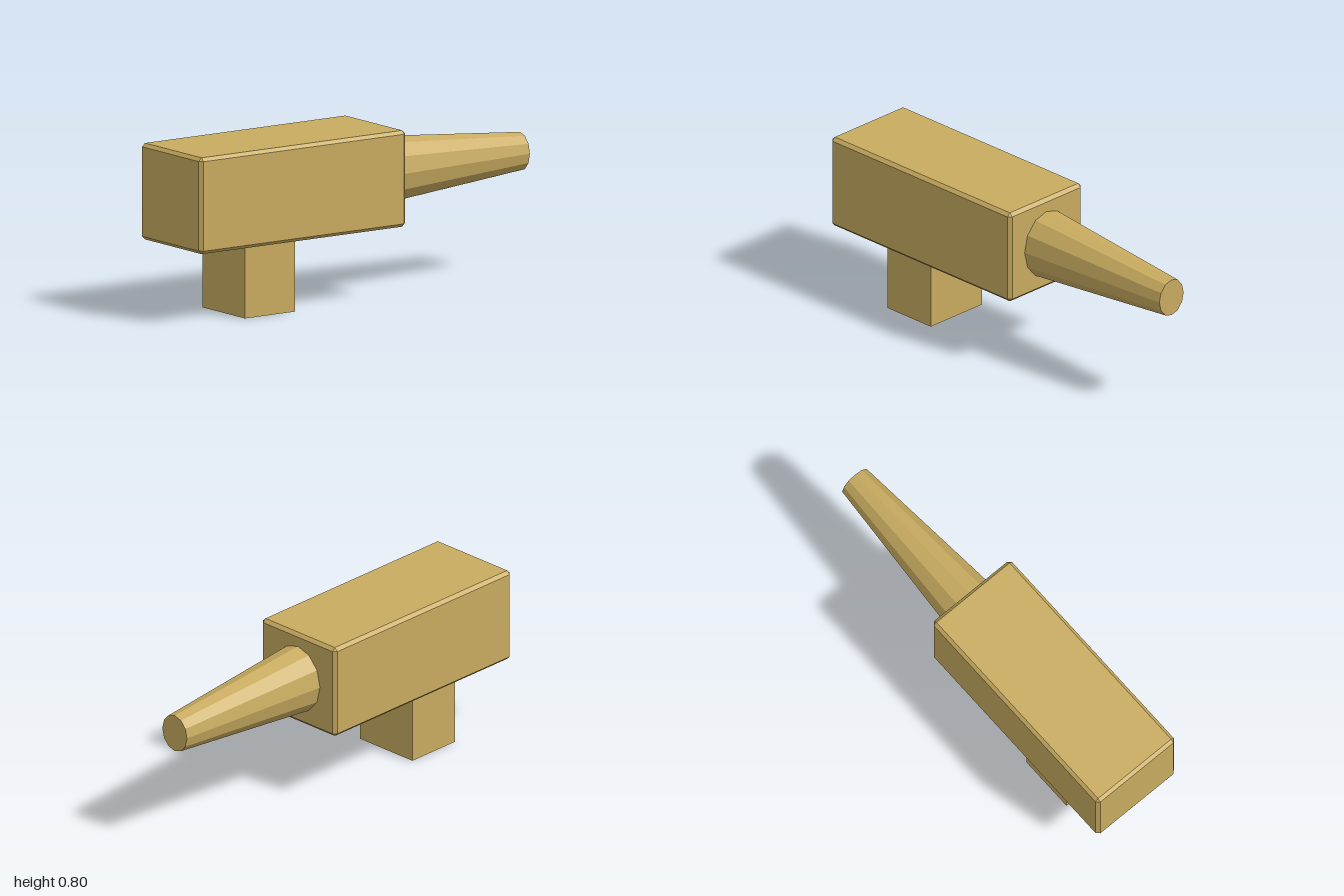
import * as THREE from 'three';
import { ConvexGeometry } from 'three/addons/geometries/ConvexGeometry.js';

// Box with every edge and corner cut flat
function chamferedBox(w, h, d, c) {
  const points = [];
  for (const x of [-1, 1]) for (const y of [-1, 1]) for (const z of [-1, 1]) {
    for (let axis = 0; axis < 3; axis++) {
      const half = [w / 2, h / 2, d / 2].map((s, i) => (i === axis ? s : s - c));
      points.push(new THREE.Vector3(x * half[0], y * half[1], z * half[2]));
    }
  }
  return new ConvexGeometry(points);
}

export function createModel() {
  const model = new THREE.Group();
  const tan = new THREE.MeshStandardMaterial({ color: 0xc8ab60, flatShading: true });
  tan.name = 'tan';

  const add = (name, geometry, x, y, z) => {
    const mesh = new THREE.Mesh(geometry, tan);
    mesh.name = name;
    mesh.position.set(x, y, z);
    model.add(mesh);
    return mesh;
  };

  // Main block
  add('body', chamferedBox(1.18, 0.455, 0.48, 0.016), -0.41, 0.5725, 0);

  // Tapered twelve-sided nozzle, slightly taller than wide
  const nozzle = new THREE.CylinderGeometry(0.091, 0.164, 0.82, 12);
  nozzle.rotateZ(-Math.PI / 2);
  nozzle.scale(1, 1, 0.875);
  add('nozzle', nozzle, 0.59, 0.5725, 0);

  // Mounting post under the body
  add('post', new THREE.BoxGeometry(0.285, 0.36, 0.337), -0.5525, 0.18, 0);

  return model;
}
